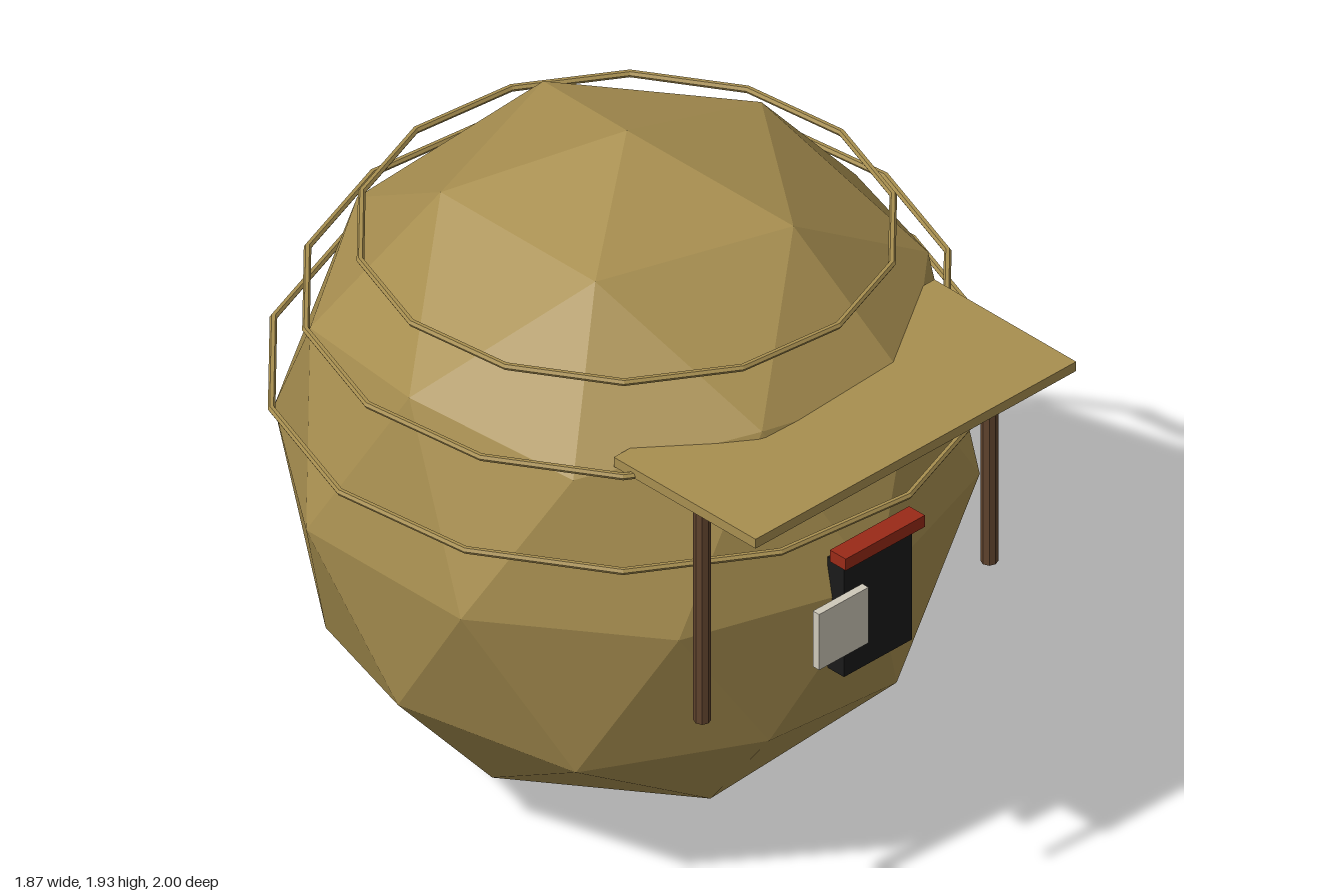
import * as THREE from 'three';

const mat = (name, color) => Object.assign(new THREE.MeshStandardMaterial({ color, flatShading: true }), { name });

export function createModel() {
  const group = new THREE.Group();
  const thatch = mat('thatch', 0xa88f50);
  const wood = mat('darkWood', 0x5f432d);
  const black = mat('doorBlack', 0x1a1a1a);
  const red = mat('lintelRed', 0x9a2a18);
  const pale = mat('paleBoard', 0xcfc9ba);
  const centreZ = -0.06;

  const add = (name, geometry, material, x, y, z) => {
    const mesh = new THREE.Mesh(geometry, material);
    mesh.name = name;
    mesh.position.set(x, y, z);
    group.add(mesh);
    return mesh;
  };
  // Box given by its minimum and maximum corners
  const box = (name, material, [x0, y0, z0], [x1, y1, z1]) =>
    add(name, new THREE.BoxGeometry(x1 - x0, y1 - y0, z1 - z0), material,
      (x0 + x1) / 2, (y0 + y1) / 2, (z0 + z1) / 2);

  // Faceted ball, turned so that a corner points straight up
  const ball = new THREE.IcosahedronGeometry(1, 1);
  ball.rotateZ(-Math.atan(2 / (1 + Math.sqrt(5))));
  ball.scale(0.918, 0.963, 0.918);
  add('body', ball, thatch, 0, 0.965, centreZ);

  // Three binding hoops
  for (const [y, radius] of [[1.197, 0.932], [1.43, 0.842], [1.625, 0.699]]) {
    const hoop = new THREE.TorusGeometry(radius, 0.01, 6, 14);
    hoop.rotateX(Math.PI / 2);
    hoop.rotateY(-Math.PI / 28);
    add('hoop', hoop, thatch, 0, y, centreZ);
  }

  // Porch roof and its posts
  box('porchRoof', thatch, [-0.575, 1.424, 0.48], [0.575, 1.453, 1]);
  for (const side of [-1, 1]) {
    add(side > 0 ? 'leftPost' : 'rightPost',
      new THREE.CylinderGeometry(0.023, 0.023, 0.69, 8), wood, side * 0.515, 1.081, 0.743);
  }

  // Doorway, lintel and hanging board
  box('door', black, [-0.122, 0.738, 0.801], [0.122, 1.083, 0.861]);
  box('lintel', red, [-0.142, 1.092, 0.83], [0.142, 1.128, 0.888]);
  box('board', pale, [-0.347, 0.936, 0.977], [-0.17, 1.109, 1]);

  return group;
}
